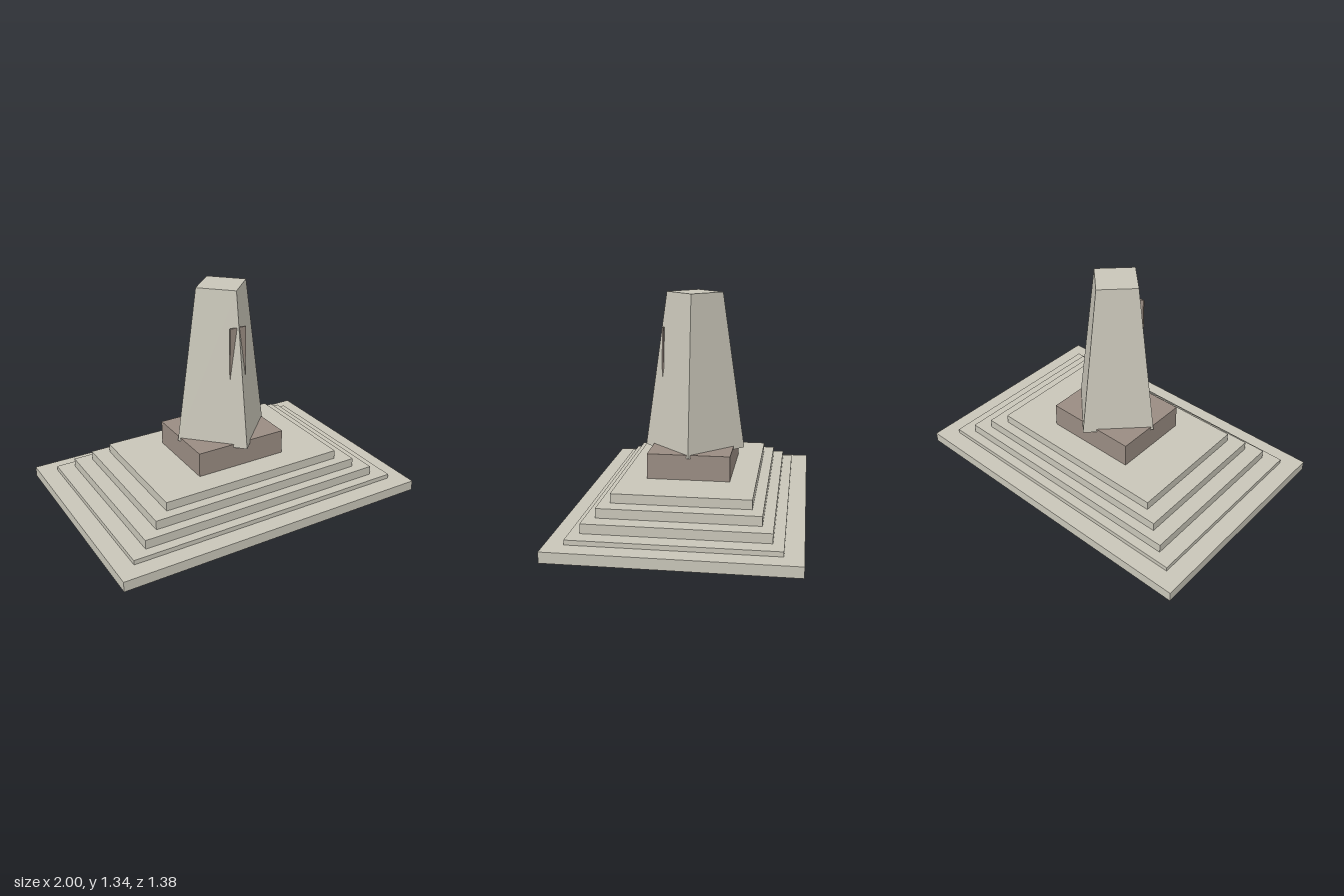
import * as THREE from 'three';

export function createModel() {
  const group = new THREE.Group();
  const paleStone = new THREE.MeshStandardMaterial({ color: 0xc8c5b8, flatShading: true });
  paleStone.name = 'paleStone';
  const brownStone = new THREE.MeshStandardMaterial({ color: 0x998c82, flatShading: true });
  brownStone.name = 'brownStone';

  const add = (name, geometry, material, y, z = 0) => {
    const mesh = new THREE.Mesh(geometry, material);
    mesh.name = name;
    mesh.position.set(0, y, z);
    group.add(mesh);
  };
  // Box given by half width, half depth, bottom and top
  const block = (name, hx, hz, y0, y1, material, z = 0) =>
    add(name, new THREE.BoxGeometry(hx * 2, y1 - y0, hz * 2), material, (y0 + y1) / 2, z);

  // Stepped base: half width, half depth, top height
  const steps = [
    [1, 0.692, 0.063],
    [0.89, 0.585, 0.091],
    [0.79, 0.524, 0.147],
    [0.692, 0.462, 0.203],
    [0.594, 0.4, 0.258],
  ];
  let y = 0;
  steps.forEach(([hx, hz, top], i) => {
    block(`step${i + 1}`, hx, hz, y, top, paleStone);
    y = top;
  });

  // Pedestal
  block('pedestal', 0.293, 0.246, y, 0.41, brownStone);

  // Tapered four-sided pillar with its corners on the axes
  add('pillar', new THREE.CylinderGeometry(0.17, 0.306, 0.95, 4), paleStone, 0.865);

  // Plaque set into the front corner of the pillar
  block('plaque', 0.053, 0.0048, 0.76, 1.127, brownStone, 0.188);

  return group;
}
